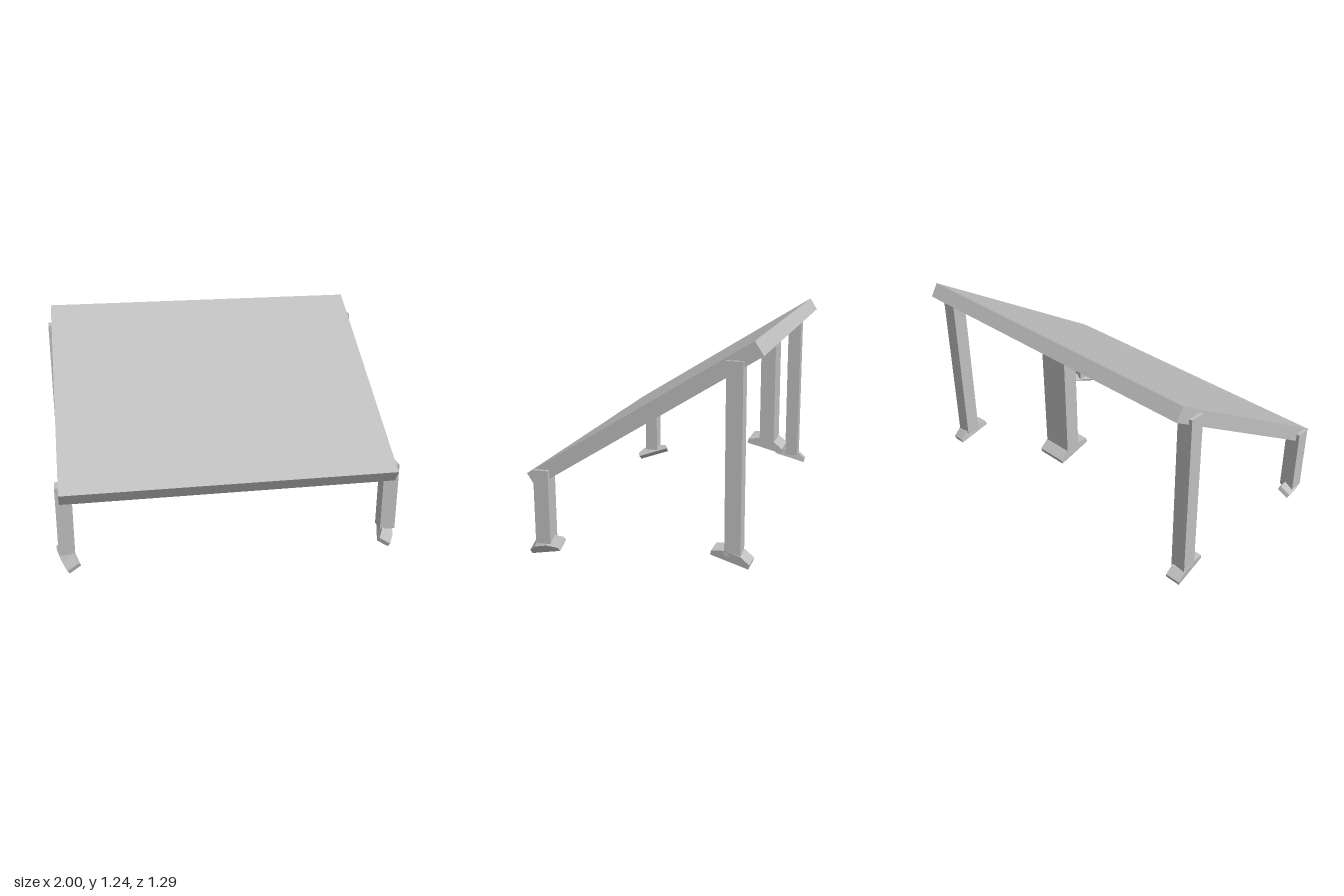
import * as THREE from 'three';

const grey = new THREE.MeshStandardMaterial({ color: 0xbfbfbf });
grey.name = 'plain grey';

function addMesh(parent, name, geometry) {
  const mesh = new THREE.Mesh(geometry, grey);
  mesh.name = name;
  parent.add(mesh);
  return mesh;
}

// Upright square post between two heights
function addPost(parent, name, x, z, width, bottom, top) {
  const post = addMesh(parent, name, new THREE.BoxGeometry(width, top - bottom, 0.085));
  post.position.set(x, (bottom + top) / 2, z);
}

// Foot pad: low prism, thin at toe and heel, thicker under the post
function footGeometry(width) {
  const profile = new THREE.Shape([
    [-0.105, 0], [0.105, 0], [0.105, 0.026], [0.05, 0.052], [-0.04, 0.052], [-0.105, 0.026],
  ].map(([a, b]) => new THREE.Vector2(a, b)));
  const geometry = new THREE.ExtrudeGeometry(profile, { depth: width, bevelEnabled: false });
  geometry.translate(0, 0, -width / 2);
  return geometry.rotateY(-Math.PI / 2); // profile length now runs along +z
}

// Place a foot by its centre, toe direction and sole normal
function addFoot(parent, name, width, centre, toe, up) {
  const foot = addMesh(parent, name, footGeometry(width));
  const z = new THREE.Vector3(...toe).normalize();
  const x = new THREE.Vector3(...up).cross(z).normalize();
  const y = new THREE.Vector3().crossVectors(z, x);
  foot.quaternion.setFromRotationMatrix(new THREE.Matrix4().makeBasis(x, y, z));
  foot.position.set(...centre);
}

export function createModel() {
  const model = new THREE.Group();
  model.name = 'slopedTable';

  // Sloping top made of two panels meeting at the centre seam
  const top = new THREE.Group();
  top.name = 'slopedTop';
  top.position.set(0, 0.829, -0.003);
  top.rotation.x = 0.559;
  model.add(top);

  for (const s of [-1, 1]) {
    const side = s > 0 ? 'left' : 'right';
    addMesh(top, side + 'TopPanel', new THREE.BoxGeometry(0.965, 0.086, 1.451))
      .position.x = s * 0.4825;

    // Corner legs with splayed feet
    addPost(model, side + 'FrontLeg', s * 0.94, 0.5475, 0.09, 0.095, 0.508);
    addFoot(model, side + 'FrontFoot', 0.077, [s * 0.927, 0.055, 0.54],
      [s * -0.28, -0.28, 0.92], [s * 0.45, 0.81, 0.38]);
    addPost(model, side + 'BackLeg', s * 0.94, -0.5025, 0.09, 0.14, 1.15);
    addFoot(model, side + 'BackFoot', 0.085, [s * 0.938, 0.113, -0.488],
      [s * 0.05, -0.26, -0.96], [s * 0.14, 0.96, -0.25]);
  }

  // Short wide support under the middle of the back edge
  addPost(model, 'centreLeg', 0, -0.5025, 0.175, 0.48, 1.13);
  addFoot(model, 'centreFoot', 0.175, [0, 0.464, -0.488], [0, -0.25, -0.97], [0, 0.97, -0.25]);

  return model;
}
